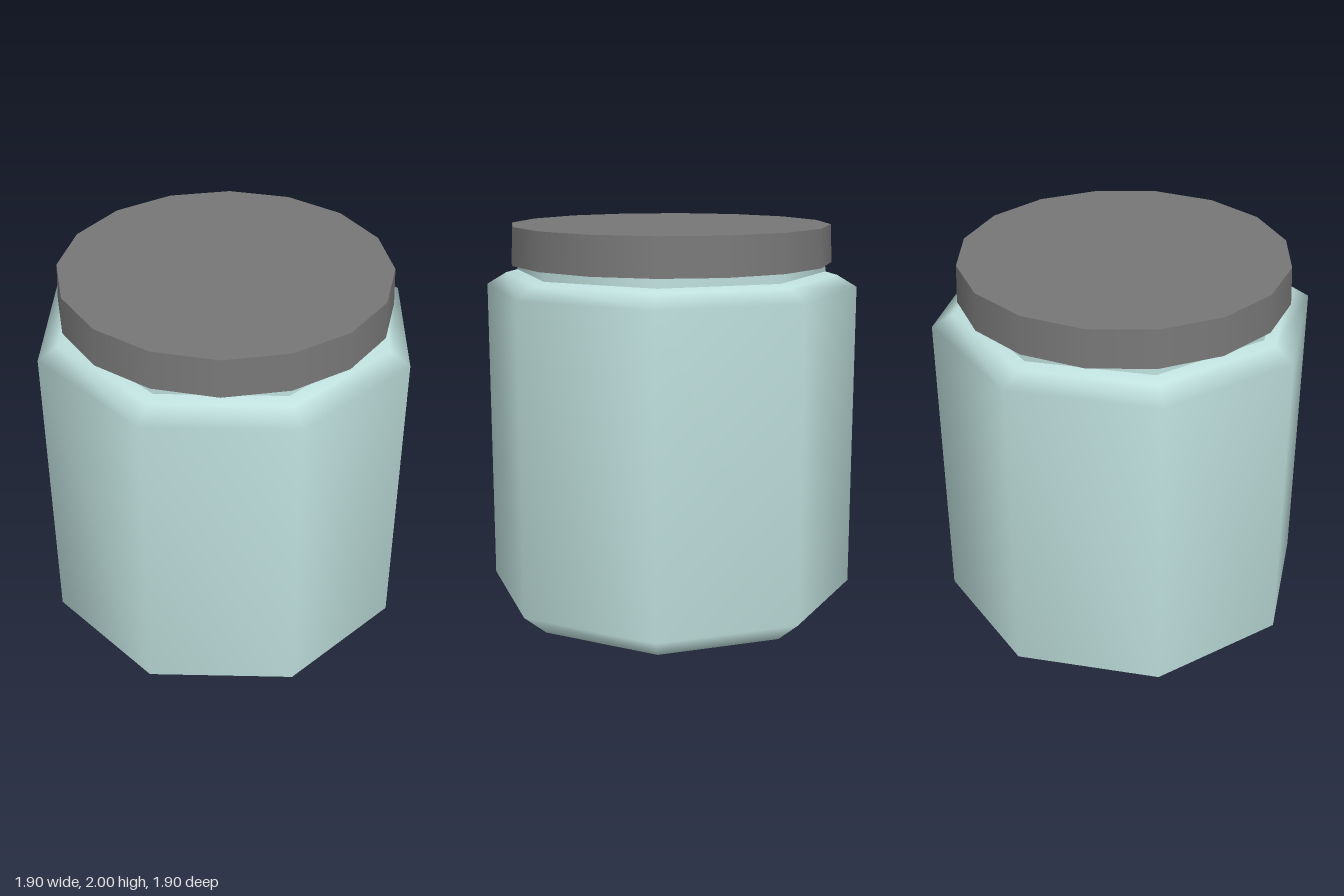
import * as THREE from 'three';

// Revolve a list of [radius, height] points, listed bottom to top
function revolve(name, points, sides, material) {
  const profile = points.map(([r, y]) => new THREE.Vector2(r, y));
  const mesh = new THREE.Mesh(new THREE.LatheGeometry(profile, sides), material);
  mesh.name = name;
  return mesh;
}

export function createModel() {
  const glass = new THREE.MeshStandardMaterial({ color: 0xbfe0dd });
  glass.name = 'pale teal glass';
  const grey = new THREE.MeshStandardMaterial({ color: 0x777777 });
  grey.name = 'grey lid';

  // Eight-sided jar, smooth around, with crisp edges at base and neck
  const jar = new THREE.Group();
  jar.name = 'jar';
  jar.add(
    revolve('base', [[0, 0], [0.82, 0]], 8, glass),
    revolve('body', [[0.82, 0], [0.95, 0.11], [0.95, 1.68], [0.85, 1.74], [0.79, 1.757]], 8, glass),
    revolve('neck', [[0.79, 1.757], [0.785, 1.9]], 8, glass)
  );

  // Sixteen-sided lid, slightly wider at the bottom
  const lid = new THREE.Group();
  lid.name = 'lid';
  lid.add(
    revolve('lidUnderside', [[0, 1.805], [0.82, 1.805]], 16, grey),
    revolve('lidRim', [[0.82, 1.805], [0.812, 1.995]], 16, grey),
    revolve('lidTop', [[0.812, 1.995], [0, 2]], 16, grey)
  );

  const model = new THREE.Group();
  model.name = 'lidded jar';
  model.add(jar, lid);
  return model;
}
